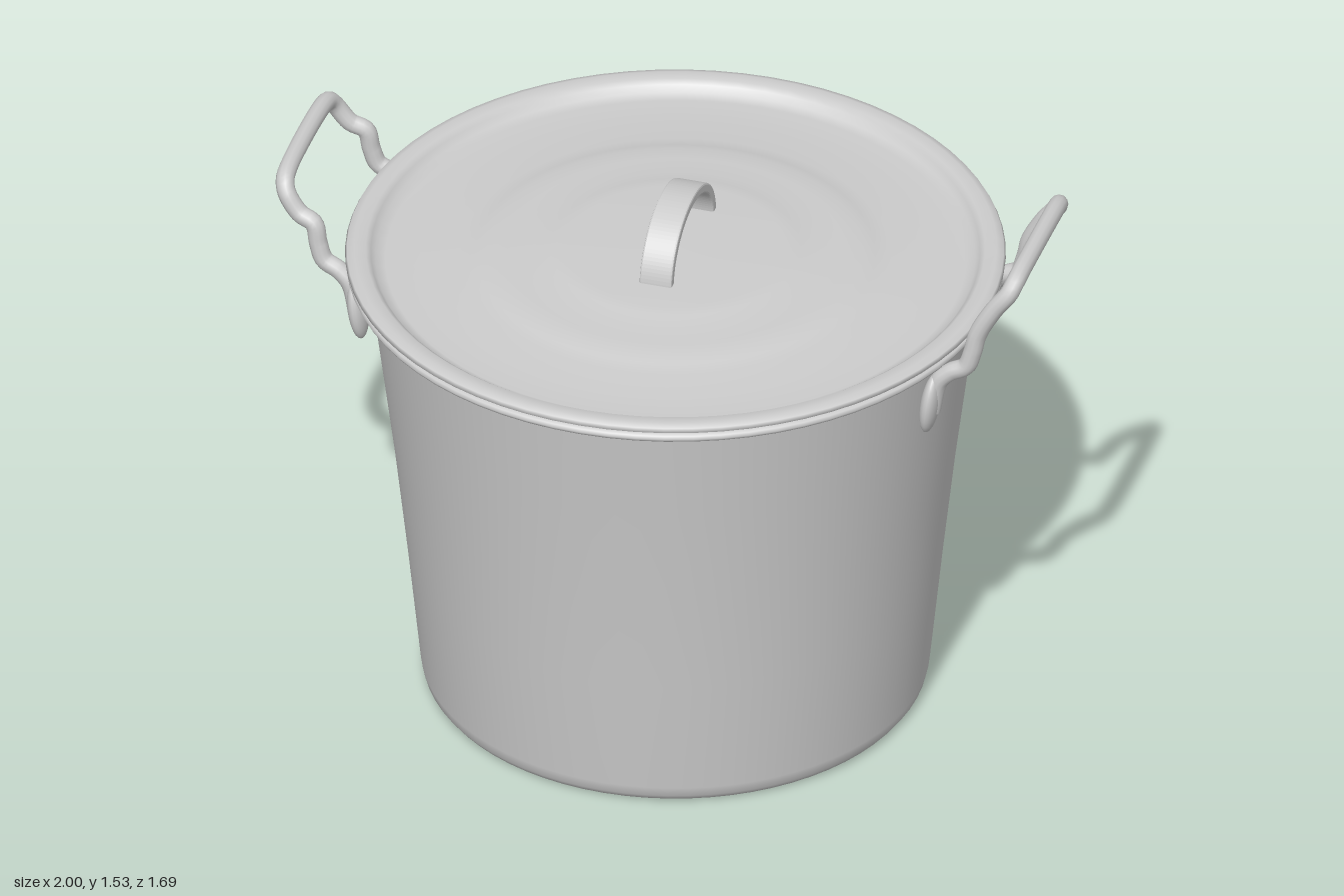
import * as THREE from 'three';

const grey = new THREE.MeshStandardMaterial({ color: 0xcccccc, side: THREE.DoubleSide });

function add(parent, geometry, name) {
  const mesh = new THREE.Mesh(geometry, grey);
  mesh.name = name;
  parent.add(mesh);
  return mesh;
}

const lathe = (points) =>
  new THREE.LatheGeometry(points.map(([r, y]) => new THREE.Vector2(r, y)), 72);

// Bail handle: a bent rod rising from two flattened pads on the wall.
function sideHandle(side, top, name) {
  const group = new THREE.Group();
  group.name = name;
  const midZ = 0.03;
  // one leg as [x, y, half spread in z], from the pad to the grip
  const leg = [
    [0.765, 1.10, 0.24], [0.785, 1.19, 0.24], [0.815, 1.222, 0.237], [0.855, 1.245, 0.235],
    [0.872, 1.29, 0.232], [0.885, 1.345, 0.228],
    [0.925, top - 0.085, 0.222], [0.962, top - 0.035, 0.213],
    [0.972, top - 0.012, 0.195], [0.976, top, 0.155],
  ];
  const path = [
    ...leg.map(([x, y, z]) => new THREE.Vector3(side * x, y, midZ + z)),
    ...leg.slice().reverse().map(([x, y, z]) => new THREE.Vector3(side * x, y, midZ - z)),
  ];
  const curve = new THREE.CatmullRomCurve3(path, false, 'centripetal');
  add(group, new THREE.TubeGeometry(curve, 120, 0.024, 12), 'handleRod');

  for (const s of [1, -1]) {
    const pad = add(group, new THREE.SphereGeometry(1, 20, 14), 'handlePad');
    pad.scale.set(0.024, 0.088, 0.046);
    pad.position.set(side * 0.763, 1.12, midZ + s * 0.242);
    pad.rotation.z = -side * 0.13;
  }
  return group;
}

export function createModel() {
  const model = new THREE.Group();
  model.name = 'lidded pot';

  // Tapered body with a rounded bottom edge and a rolled rim
  add(model, lathe([
    [0, 0.005], [0.55, 0.005], [0.61, 0.006], [0.632, 0.012], [0.644, 0.028], [0.65, 0.055],
    [0.683, 0.38], [0.716, 0.68], [0.75, 0.95], [0.782, 1.2], [0.786, 1.228], [0.80, 1.231],
  ]), 'body');
  const rim = add(model, new THREE.TorusGeometry(0.82, 0.02, 10, 72), 'rim');
  rim.rotation.x = Math.PI / 2;
  rim.scale.z = 0.65;
  rim.position.y = 1.24;

  // Lid with a raised border, a recess and two stepped rings
  const lid = new THREE.Group();
  lid.name = 'lid';
  model.add(lid);
  add(lid, lathe([
    [0.795, 1.252], [0.83, 1.256], [0.843, 1.263], [0.838, 1.273], [0.82, 1.279],
    [0.79, 1.277], [0.777, 1.267], [0.765, 1.25], [0.74, 1.243], [0.65, 1.246],
    [0.55, 1.251], [0.51, 1.258], [0.48, 1.267], [0.43, 1.269], [0.36, 1.271],
    [0.32, 1.279], [0.28, 1.283], [0.12, 1.286], [0, 1.287],
  ]), 'lidDisc');

  // Arched strap on the lid
  const arch = new THREE.Shape();
  arch.absellipse(0, 0, 0.195, 0.165, 0, Math.PI, false);
  arch.absellipse(0, 0, 0.178, 0.148, Math.PI, 0, true);
  const strap = new THREE.ExtrudeGeometry(arch, {
    depth: 0.076, bevelSize: 0.005, bevelThickness: 0.005, bevelSegments: 2, curveSegments: 28,
  });
  strap.translate(0, 0, -0.038);
  strap.rotateY(Math.PI / 2);
  add(lid, strap, 'lidStrap').position.set(0.005, 1.27, -0.005);

  model.add(sideHandle(1, 1.505, 'leftHandle'), sideHandle(-1, 1.45, 'rightHandle'));
  return model;
}
